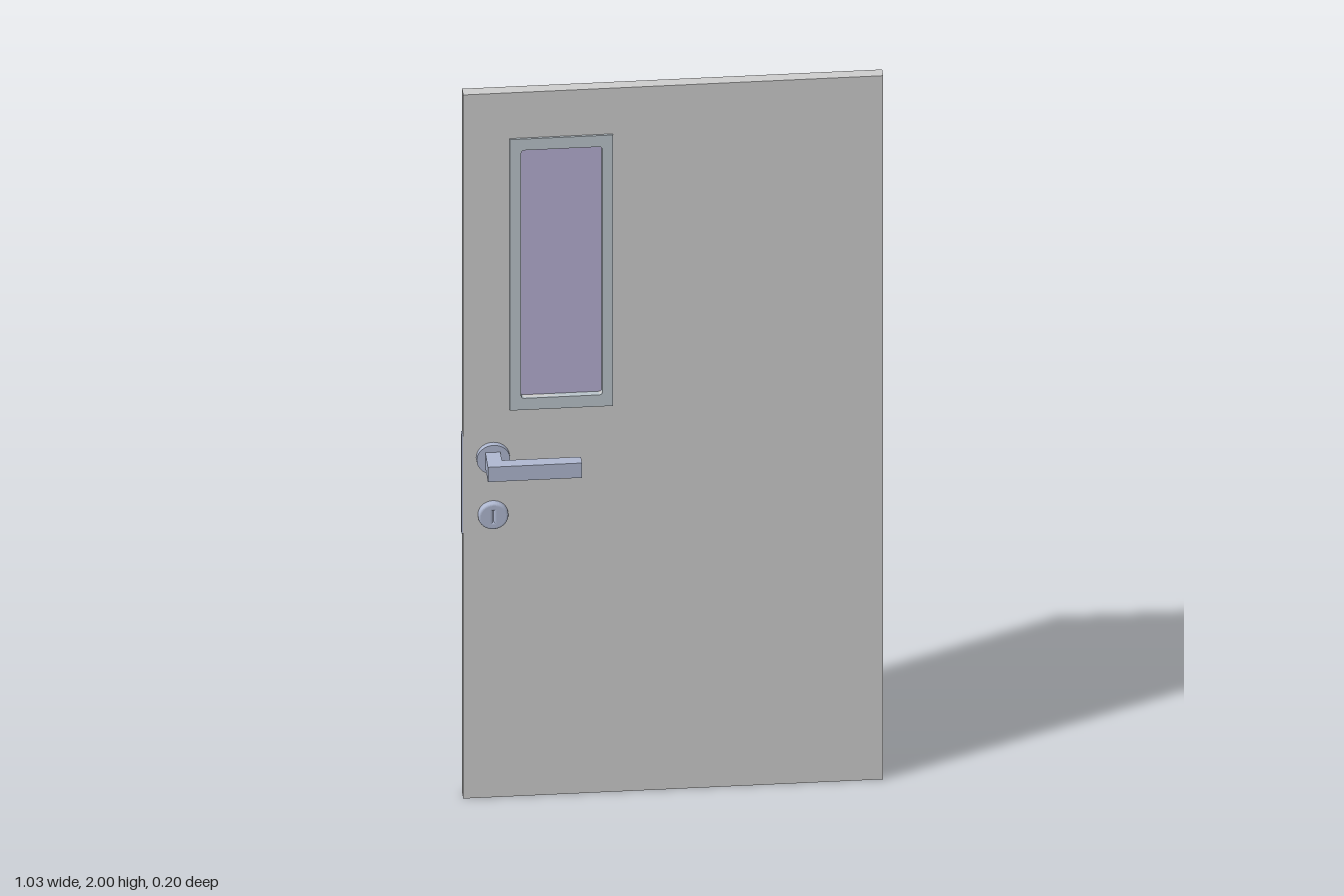
import * as THREE from 'three';

const material = (color) => new THREE.MeshStandardMaterial({ color });

// Rounded rectangle between two corners
function roundedRect(x0, y0, x1, y1, r, Type = THREE.Shape) {
  const s = new Type();
  s.moveTo(x0 + r, y0);
  s.lineTo(x1 - r, y0);
  s.quadraticCurveTo(x1, y0, x1, y0 + r);
  s.lineTo(x1, y1 - r);
  s.quadraticCurveTo(x1, y1, x1 - r, y1);
  s.lineTo(x0 + r, y1);
  s.quadraticCurveTo(x0, y1, x0, y1 - r);
  s.lineTo(x0, y0 + r);
  s.quadraticCurveTo(x0, y0, x0 + r, y0);
  return s;
}

function polygon(points) {
  return new THREE.Shape(points.map(([x, y]) => new THREE.Vector2(x, y)));
}

// Extrusion centred on z = 0
function slab(shape, depth) {
  return new THREE.ExtrudeGeometry(shape, { depth, bevelEnabled: false, curveSegments: 6 })
    .translate(0, 0, -depth / 2);
}

export function createModel() {
  const model = new THREE.Group();
  const doorMat = material(0xc8c4c8);
  const frameMat = material(0xb9c3ca);
  const glassMat = material(0xb4add0);
  const metalMat = material(0xaeb7cf);

  const add = (parent, name, geometry, mat, x = 0, y = 0, z = 0) => {
    const mesh = new THREE.Mesh(geometry, mat);
    mesh.name = name;
    mesh.position.set(x, y, z);
    parent.add(mesh);
    return mesh;
  };

  const opening = () => roundedRect(-0.372, 1.133, -0.173, 1.838, 0.008, THREE.Path);

  // Door leaf with the window cut out
  const leaf = polygon([[-0.514, 0], [0.517, 0], [0.517, 2], [-0.514, 2]]);
  leaf.holes.push(opening());
  add(model, 'doorLeaf', slab(leaf, 0.03), doorMat);

  // Window trim, slightly proud of both faces
  const trim = polygon([[-0.4, 1.1], [-0.147, 1.1], [-0.147, 1.87], [-0.4, 1.87]]);
  trim.holes.push(opening());
  add(model, 'windowFrame', slab(trim, 0.041), frameMat);

  // Glass pane
  add(model, 'windowGlass', new THREE.BoxGeometry(0.203, 0.709, 0.006), glassMat, -0.2725, 1.4855, 0);

  // Latch plate on the door edge
  const plate = slab(roundedRect(-0.012, -0.14, 0.012, 0.14, 0.004), 0.006).rotateY(-Math.PI / 2);
  add(model, 'latchPlate', plate, metalMat, -0.5145, 0.89, 0);

  // Handle set, the same on both faces
  for (const side of [1, -1]) {
    const set = new THREE.Group();
    set.name = side > 0 ? 'frontHandleSet' : 'backHandleSet';
    model.add(set);

    const rose = new THREE.CylinderGeometry(0.041, 0.041, 0.018, 40).rotateX(Math.PI / 2);
    add(set, 'rose', rose, metalMat, -0.441, 0.968, side * 0.021);

    // L-shaped lever drawn in plan, then laid flat
    const plan = [[-0.461, 0.028], [-0.424, 0.028], [-0.424, 0.07], [-0.23, 0.07], [-0.23, 0.1], [-0.461, 0.1]];
    const lever = slab(polygon(plan.map(([x, z]) => [x, -side * z])), 0.042).rotateX(-Math.PI / 2);
    add(set, 'lever', lever, metalMat, 0, 0.968, 0);

    // Lock cover with a rounded rim and a key slot
    const cover = new THREE.Shape().absarc(0, 0, 0.031, 0, Math.PI * 2);
    cover.holes.push(roundedRect(-0.007, -0.022, 0.007, 0.022, 0.004, THREE.Path));
    const lock = new THREE.ExtrudeGeometry(cover, {
      depth: 0.012, bevelThickness: 0.006, bevelSize: 0.006, bevelSegments: 4, curveSegments: 24,
    }).translate(0, 0, -0.006);
    add(set, 'lockCover', lock, metalMat, -0.441, 0.806, side * 0.019);
    add(set, 'lockCore', new THREE.BoxGeometry(0.03, 0.05, 0.01), metalMat, -0.441, 0.806, side * 0.019);
  }

  return model;
}
